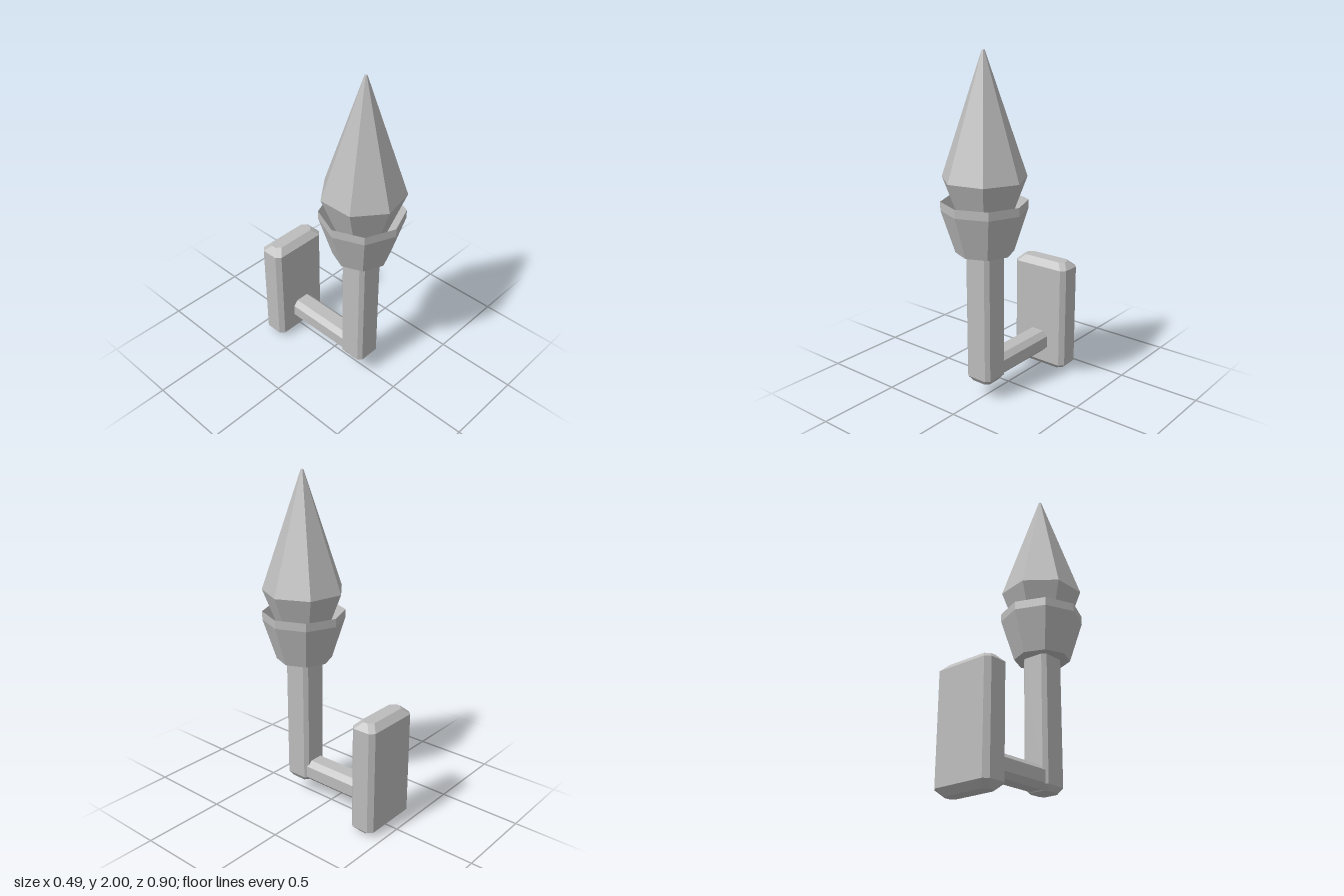
import * as THREE from 'three';

const stone = new THREE.MeshStandardMaterial({ color: 0xbcbcbc, flatShading: true });
stone.name = 'grey';

// Rectangle outline with cut corners, counter-clockwise
function cutRect(w, d, c) {
  return [[w, -d + c], [w, d - c], [w - c, d], [-w + c, d], [-w, d - c], [-w, -d + c], [-w + c, -d], [w - c, -d]];
}

// Upright block with cut corners; rings are [y, halfWidth, halfDepth], bottom to top
function chamferedBlock(rings, cut) {
  const pos = [];
  const loops = rings.map(([y, w, d]) => cutRect(w, d, cut).map(([x, z]) => new THREE.Vector3(x, y, z)));
  const tri = (a, b, c) => [a, b, c].forEach((p) => pos.push(p.x, p.y, p.z));
  for (let r = 0; r < loops.length - 1; r++) {
    for (let i = 0; i < 8; i++) {
      const j = (i + 1) % 8, lo = loops[r], hi = loops[r + 1];
      tri(lo[i], hi[i], hi[j]);
      tri(lo[i], hi[j], lo[j]);
    }
  }
  const first = loops[0], last = loops[loops.length - 1];
  for (let i = 1; i < 7; i++) {
    tri(first[0], first[i], first[i + 1]);
    tri(last[0], last[i + 1], last[i]);
  }
  const geo = new THREE.BufferGeometry();
  geo.setAttribute('position', new THREE.Float32BufferAttribute(pos, 3));
  geo.computeVertexNormals();
  return geo;
}

// Faceted turned form from [radius, y] points, bottom to top
function turned(points, sides) {
  return new THREE.LatheGeometry(points.map(([r, y]) => new THREE.Vector2(r, y)), sides, Math.PI / 2);
}

export function createModel() {
  const model = new THREE.Group();
  model.name = 'wallTorch';
  const add = (name, geo, x, y, z) => {
    const mesh = new THREE.Mesh(geo, stone);
    mesh.name = name;
    mesh.position.set(x, y, z);
    model.add(mesh);
    return mesh;
  };
  const torchZ = 0.21;

  // Wall plate, bevelled on every edge
  add('wallPlate', chamferedBlock([
    [0, 0.151, 0.041], [0.038, 0.189, 0.079], [0.667, 0.189, 0.079], [0.705, 0.151, 0.041],
  ], 0.027), 0, 0, -0.373);

  // Arm running forward from the plate to the post
  const arm = add('arm', chamferedBlock([[0, 0.073, 0.067], [0.49, 0.073, 0.067]], 0.031), 0, 0.177, -0.33);
  arm.rotation.x = Math.PI / 2;

  // Upright post, its top set into the cup
  add('post', chamferedBlock([
    [0.105, 0.063, 0.063], [0.137, 0.085, 0.085], [0.94, 0.085, 0.085],
  ], 0.022), 0, 0, torchZ);

  // Open eight-sided cup
  add('cup', turned([
    [0, 0.895], [0.165, 0.895], [0.243, 1.14], [0.243, 1.19], [0.16, 1.0], [0, 1.0],
  ], 8), 0, 0, torchZ);

  // Seven-sided flame
  add('flame', turned([
    [0, 0.99], [0.115, 0.99], [0.242, 1.315], [0.008, 2], [0, 2],
  ], 7), 0, 0, torchZ);

  return model;
}
